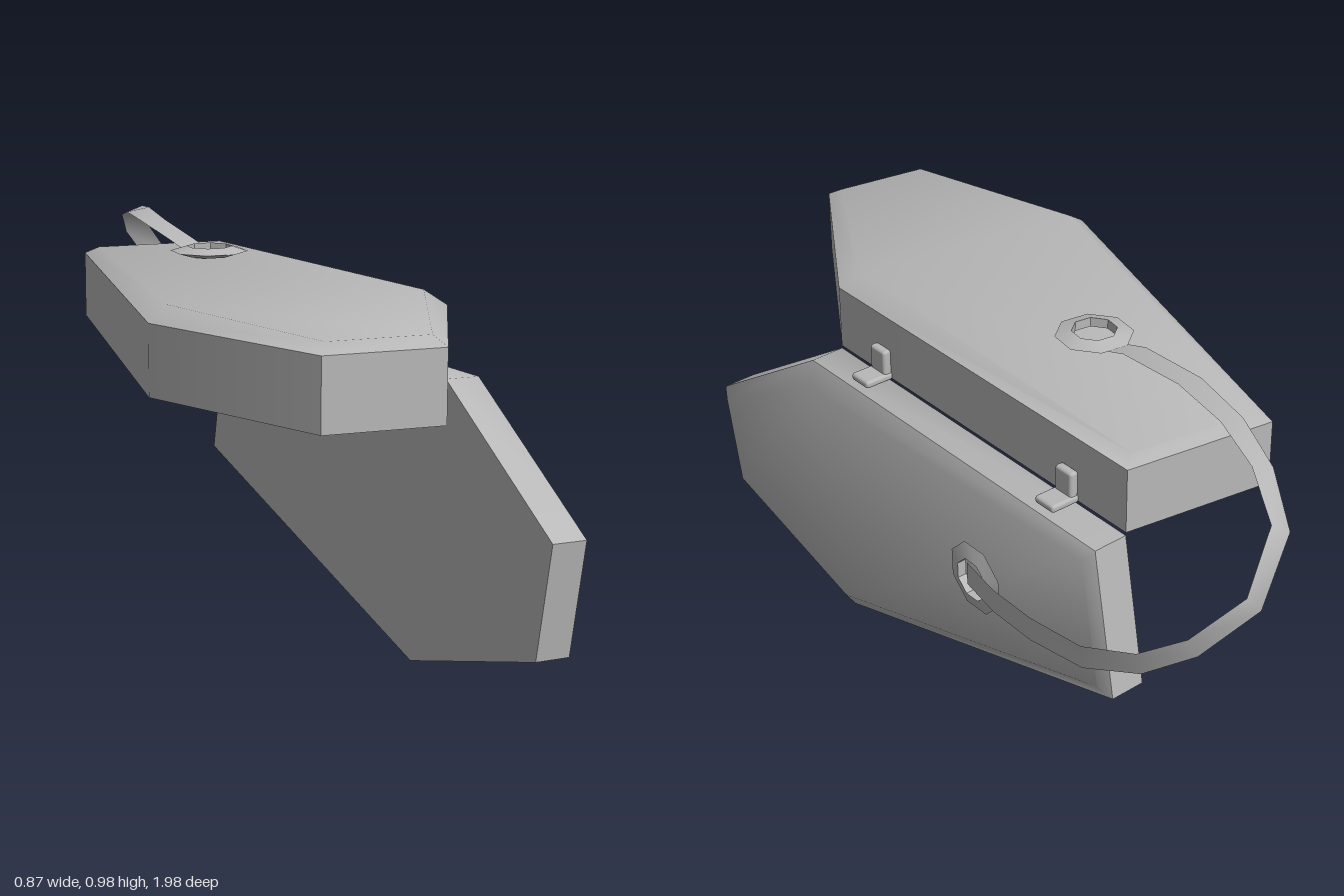
import * as THREE from 'three';
import { toCreasedNormals } from 'three/addons/utils/BufferGeometryUtils.js';
import { RoundedBoxGeometry } from 'three/addons/geometries/RoundedBoxGeometry.js';

const YAW = Math.atan2(0.16, 1.07); // slant of the long sides

// Left half of the six-sided outlines as [x, z, crown height]; the right half is mirrored
const mirrored = (half) => [...half, ...half.slice().reverse().map(([x, z, h]) => [-x, z, h])];
const OUTER = mirrored([[-0.195, -0.547, 0], [-0.355, 0.52, 0], [-0.14, 1, 0]]);
const INNER = mirrored([[-0.165, -0.517, 0.018], [-0.305, 0.5, 0.035], [-0.12, 0.965, 0.022]]);

// Tapered shell with a crowned top; hollow adds a recess in the underside
function shellGeometry(wall, hollow) {
  const ring = (outline, y, crown = 0) => outline.map(([x, z, h]) => [x, y + h * crown, z]);
  const rings = [ring(OUTER, 0), ring(OUTER, wall), ring(INNER, wall, 1)];
  if (hollow) rings.unshift(ring(INNER, wall - 0.01), ring(INNER, 0));
  const pos = [];
  const tri = (a, b, c) => pos.push(...a, ...b, ...c);
  for (let r = 0; r < rings.length - 1; r++) {
    for (let i = 0; i < 6; i++) {
      const j = (i + 1) % 6, lo = rings[r], hi = rings[r + 1];
      tri(lo[i], lo[j], hi[j]);
      tri(lo[i], hi[j], hi[i]);
    }
  }
  const first = rings[0], last = rings[rings.length - 1];
  for (const [a, b, c] of [[0, 1, 4], [0, 4, 5], [1, 2, 3], [1, 3, 4]]) {
    tri(first[a], first[c], first[b]);
    tri(last[a], last[b], last[c]);
  }
  const g = new THREE.BufferGeometry();
  g.setAttribute('position', new THREE.Float32BufferAttribute(pos, 3));
  return toCreasedNormals(g, 0.68);
}

// Flat ribbon that twists a quarter turn along its path
function strapGeometry() {
  const path = [
    [-0.1, 0.912, -0.1], [-0.13, 0.945, -0.22], [-0.14, 0.968, -0.43], [-0.122, 0.972, -0.62],
    [-0.09, 0.95, -0.78], [-0.04, 0.89, -0.92], [0.06, 0.765, -0.975], [0.165, 0.65, -0.91],
    [0.235, 0.57, -0.81], [0.285, 0.51, -0.66], [0.308, 0.48, -0.48], [0.312, 0.46, -0.32], [0.302, 0.45, -0.18],
  ];
  const pos = [], index = [];
  path.forEach(([x, y, z], i) => {
    const t = i / (path.length - 1);
    const a = THREE.MathUtils.smoothstep(t, 0.1, 0.85) * Math.PI / 2;
    const dx = Math.cos(a) * 0.031, dy = Math.sin(a) * 0.031;
    pos.push(x - dx, y - dy, z, x + dx, y + dy, z);
    if (i) {
      const k = i * 2;
      index.push(k - 2, k - 1, k + 1, k - 2, k + 1, k);
    }
  });
  const g = new THREE.BufferGeometry();
  g.setAttribute('position', new THREE.Float32BufferAttribute(pos, 3));
  g.setIndex(index);
  g.computeVertexNormals();
  return g;
}

export function createModel() {
  const model = new THREE.Group();
  const grey = new THREE.MeshStandardMaterial({ color: 0xb8b8b8 });
  grey.name = 'grey';
  const strapGrey = grey;
  strapGrey.side = THREE.DoubleSide;

  const add = (parent, name, geometry, x = 0, y = 0, z = 0) => {
    const mesh = new THREE.Mesh(geometry, grey);
    mesh.name = name;
    mesh.position.set(x, y, z);
    parent.add(mesh);
    return mesh;
  };

  // Main case, lying flat
  add(model, 'caseBody', shellGeometry(0.165, true), -0.095, 0.71, 0);

  // Lid hanging from the slanted right edge of the case
  const hinge = new THREE.Group();
  hinge.name = 'lidAssembly';
  hinge.position.set(0.18, 0.703, -0.015);
  hinge.rotation.set(0, YAW, -1.597);
  model.add(hinge);
  const lid = add(hinge, 'lid', shellGeometry(0.09, false), 0.2742, 0, -0.0258);
  lid.rotation.y = YAW;

  // Eight-sided eyelets where the strap is fixed
  const profile = [[0.055, -0.012], [0.095, 0], [0.055, 0.012], [0.055, -0.012]];
  const eyelet = toCreasedNormals(
    new THREE.LatheGeometry(profile.map(([r, y]) => new THREE.Vector2(r, y)), 8, Math.PI / 8), 0.3);
  add(model, 'caseEyelet', eyelet, -0.104, 0.934, -0.087);
  add(hinge, 'lidEyelet', eyelet, 0.252, 0.147, -0.17);

  // Carrying strap
  add(model, 'strap', strapGeometry());

  // L-shaped hinge brackets
  const brackets = new THREE.Group();
  brackets.name = 'hingeBrackets';
  brackets.position.set(0.18, 0.71, -0.015);
  brackets.rotation.y = YAW;
  model.add(brackets);
  for (const z of [-0.345, 0.36]) {
    add(brackets, 'bracketPlate', new RoundedBoxGeometry(0.024, 0.08, 0.058, 2, 0.008), 0.01, 0.04, z);
    add(brackets, 'bracketFoot', new RoundedBoxGeometry(0.08, 0.02, 0.066, 2, 0.008), 0.038, 0.008, z);
  }
  return model;
}
